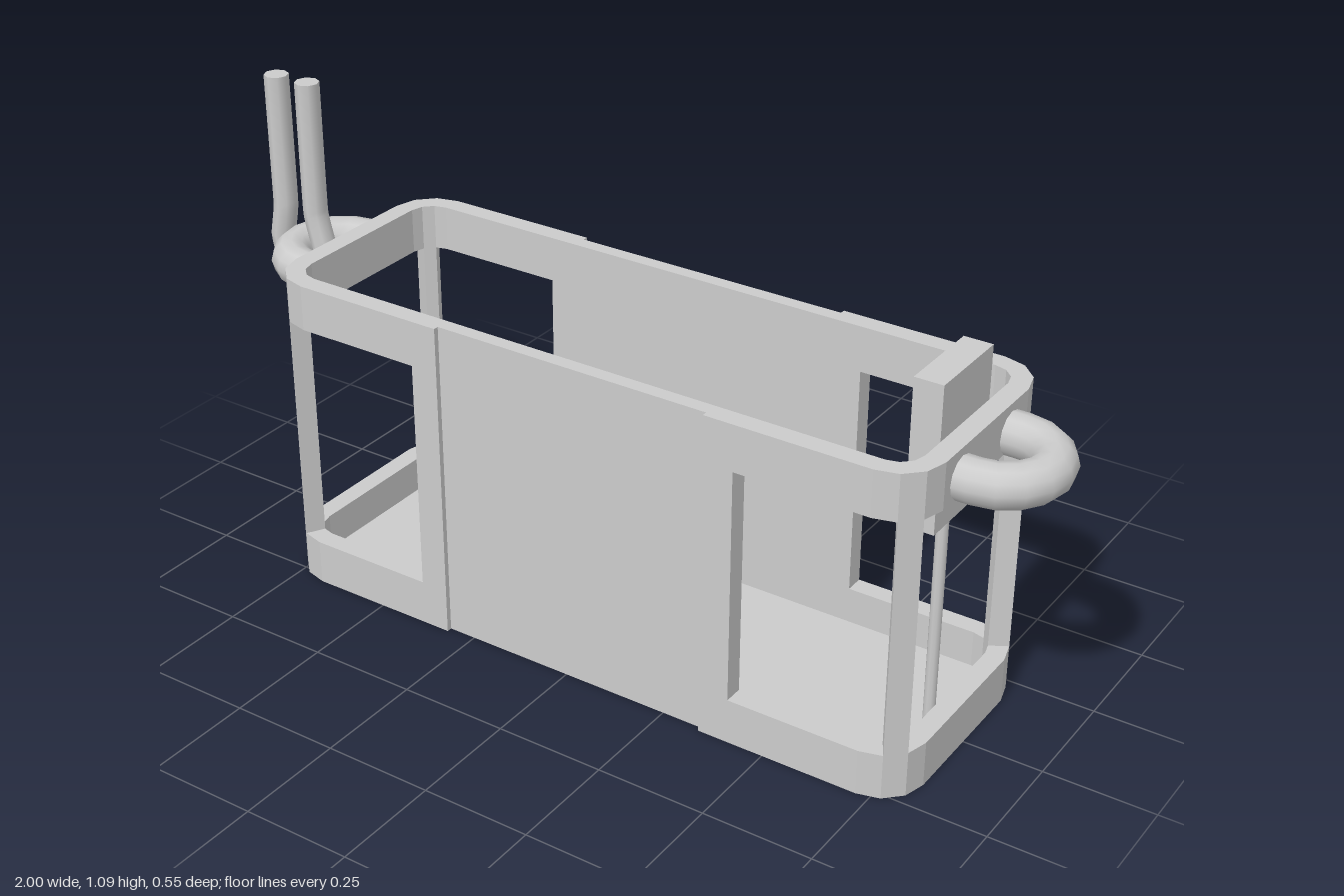
import * as THREE from 'three';

const CX = 0.02, HX = 0.8, HZ = 0.275, R = 0.1, T = 0.045; // plan size, corner radius, wall
const RAIL = 0.105, TOP = 0.75;
const PX0 = -0.315, PX1 = 0.345, PZ = 0.263;               // recessed side panel

export function createModel() {
  const group = new THREE.Group();
  const flat = new THREE.MeshStandardMaterial({ color: 0xcccccc, flatShading: true });
  const smooth = new THREE.MeshStandardMaterial({ color: 0xcccccc });

  const add = (name, geometry, material = flat, parent = group) => {
    const mesh = new THREE.Mesh(geometry, material);
    mesh.name = name;
    parent.add(mesh);
    return mesh;
  };
  const box = (name, x0, x1, y0, y1, z0, z1, parent = group) =>
    add(name, new THREE.BoxGeometry(x1 - x0, y1 - y0, z1 - z0), flat, parent)
      .position.set((x0 + x1) / 2, (y0 + y1) / 2, (z0 + z1) / 2);

  // Point on a rounded corner, at a given inset and angle in degrees
  const corner = (sx, sz, inset, deg) => {
    const a = THREE.MathUtils.degToRad(deg), r = R - inset;
    return new THREE.Vector2(
      CX + sx * (HX - R + r * Math.cos(a)), sz * (HZ - R + r * Math.sin(a)));
  };
  // Rounded rectangle with three facets per corner, optionally notched for the panels
  const outline = (inset, notched) => {
    const p = [];
    const arc = (sx, sz, degs) => degs.forEach(d => p.push(corner(sx, sz, inset, d)));
    const notch = (xs, sz) => {
      if (!notched) return;
      const [a, b] = xs;
      p.push(new THREE.Vector2(a, sz * HZ), new THREE.Vector2(a, sz * PZ),
        new THREE.Vector2(b, sz * PZ), new THREE.Vector2(b, sz * HZ));
    };
    arc(1, 1, [0, 30, 60, 90]);
    notch([PX1, PX0], 1);
    arc(-1, 1, [90, 60, 30, 0]);
    arc(-1, -1, [0, 30, 60, 90]);
    notch([PX0, PX1], -1);
    arc(1, -1, [90, 60, 30, 0]);
    return p;
  };
  const slab = (name, points, y0, y1, hole) => {
    const shape = new THREE.Shape(points);
    if (hole) shape.holes.push(new THREE.Path(hole));
    const g = new THREE.ExtrudeGeometry(shape, { depth: y1 - y0, bevelEnabled: false });
    g.rotateX(-Math.PI / 2).translate(0, y0, 0);
    add(name, g);
  };

  // Rails and floor
  slab('bottomRail', outline(0, true), 0, RAIL, outline(T));
  slab('topRail', outline(0, true), TOP - RAIL, TOP, outline(T));
  slab('floor', outline(T), 0.002, 0.02);

  // Corner posts
  for (const sx of [-1, 1]) for (const sz of [-1, 1]) {
    slab('cornerPost', [corner(sx, sz, 0, 30), corner(sx, sz, 0, 60),
      corner(sx, sz, T, 60), corner(sx, sz, T, 30)], RAIL, TOP - RAIL);
  }

  // Side panels with window jambs
  for (const s of [-1, 1]) {
    const span = (a, b) => [Math.min(s * a, s * b), Math.max(s * a, s * b)];
    box('sidePanel', PX0, PX1, RAIL, TOP - RAIL, ...span(HZ - T, PZ));
    box('windowJamb', -0.38, PX0, RAIL, TOP - RAIL, ...span(HZ - T, HZ));
    box('windowJamb', PX1, 0.415, RAIL, TOP - RAIL, ...span(HZ - T, HZ));
  }

  // Control box with a framed inner face, on a thin stand
  const control = new THREE.Group();
  control.name = 'controlBox';
  group.add(control);
  const [y0, y1, w, rim] = [0.535, 0.865, 0.103, 0.018];
  box('controlBack', 0.72, 0.77, y0, y1, -w, w, control);
  box('controlFrame', 0.705, 0.72, y0, y0 + rim, -w, w, control);
  box('controlFrame', 0.705, 0.72, y1 - rim, y1, -w, w, control);
  box('controlFrame', 0.705, 0.72, y0 + rim, y1 - rim, -w, -w + rim, control);
  box('controlFrame', 0.705, 0.72, y0 + rim, y1 - rim, w - rim, w, control);
  add('controlStand', new THREE.CylinderGeometry(0.013, 0.013, y0 - 0.01, 10), smooth)
    .position.set(0.738, (y0 + 0.01) / 2, 0);

  // Half-ring handles at both ends, with short stubs into the rail
  for (const [s, x] of [[1, 0.85], [-1, -0.81]]) {
    const ring = new THREE.TorusGeometry(0.105, 0.047, 12, 8, Math.PI);
    ring.rotateZ(-Math.PI / 2).rotateX(Math.PI / 2);
    if (s < 0) ring.rotateY(Math.PI);
    add('handle', ring, smooth).position.set(x, 0.685, 0);
    const wall = s > 0 ? 0.79 : -0.75, len = Math.abs(x - wall);
    for (const z of [-0.105, 0.105]) {
      const stub = new THREE.CylinderGeometry(0.047, 0.047, len, 12, 1, true).rotateZ(Math.PI / 2);
      add('handleStub', stub, smooth).position.set((x + wall) / 2, 0.685, z);
    }
  }

  // Hanging loop threaded through the left-hand ring
  const path = [[-0.957, 1.09], [-0.957, 0.78], [-0.971, 0.70], [-0.957, 0.64], [-0.93, 0.606],
    [-0.885, 0.606], [-0.855, 0.64], [-0.85, 0.70], [-0.868, 0.78], [-0.868, 1.09]]
    .map(([x, y]) => new THREE.Vector3(x, y, 0.004));
  const curve = new THREE.CatmullRomCurve3(path, false, 'catmullrom', 0.15);
  add('hangingLoop', new THREE.TubeGeometry(curve, 72, 0.028, 8), smooth);
  for (const p of [path[0], path[path.length - 1]]) {
    add('loopEnd', new THREE.CircleGeometry(0.028, 8).rotateX(-Math.PI / 2)).position.copy(p);
  }

  return group;
}
